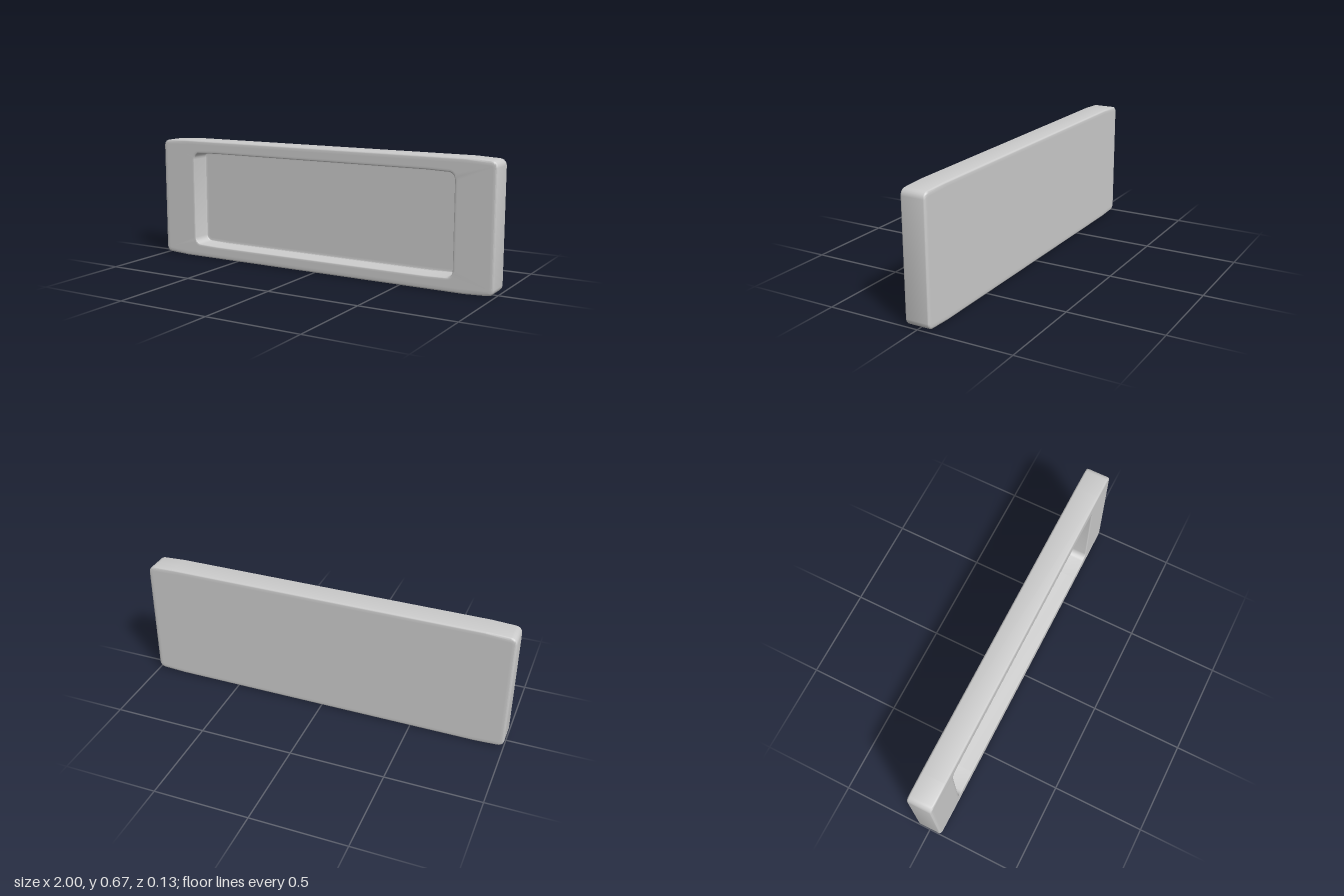
import * as THREE from 'three';
import { toCreasedNormals } from 'three/addons/utils/BufferGeometryUtils.js';

const CENTRE_Y = 0.335;
const ARC = 5; // segments per rounded corner

// Rounded rectangle whose long edges bow down slightly towards the corners, counter-clockwise from +z
function loop(hx, hy, r, bow, z) {
  const quarter = [];
  for (let i = 0; i <= ARC; i++) {
    const a = (i / ARC) * Math.PI / 2;
    quarter.push([hx - r + r * Math.cos(a), hy - bow - r + r * Math.sin(a)]);
  }
  quarter.push([Math.max(hx - 0.15, 0), hy]);
  const mirrored = (sx, sy) => quarter.map(([x, y]) => [x * sx, y * sy]);
  return [
    ...mirrored(1, 1), ...mirrored(-1, 1).reverse(),
    ...mirrored(-1, -1), ...mirrored(1, -1).reverse(),
  ].map(([x, y]) => [x, y + CENTRE_Y, z]);
}

// Skin neighbouring loops; the first and last loops are collapsed to a point
function loft(loops) {
  const pos = [];
  const n = loops[0].length;
  for (let k = 0; k < loops.length - 1; k++) {
    for (let i = 0; i < n; i++) {
      const j = (i + 1) % n;
      const a = loops[k][i], b = loops[k][j], c = loops[k + 1][i], d = loops[k + 1][j];
      if (k > 0) pos.push(...a, ...b, ...c);
      if (k < loops.length - 2) pos.push(...b, ...d, ...c);
    }
  }
  const geo = new THREE.BufferGeometry();
  geo.setAttribute('position', new THREE.Float32BufferAttribute(pos, 3));
  return toCreasedNormals(geo, 0.6);
}

export function createModel() {
  const group = new THREE.Group();
  group.name = 'recessedPanel';

  const front = 0.066, floor = -0.039, bevel = 0.01, lip = 0.006;
  const outer = (inset, z) => loop(1 - inset, 0.333 - inset, 0.034 - inset, 0.006, z);
  const inner = (inset, z) => loop(0.787 - inset, 0.264 - inset, 0.036 - inset, 0.004, z);
  const point = (z) => loop(0, 0, 0, 0, z);
  const steps = [0, 1, 2, 3].map((i) => (i / 3) * Math.PI / 2);

  const loops = [point(-front), outer(0.025, -front)];
  // Outer wall with rounded back and front edges
  for (const a of steps) loops.push(outer(bevel * (1 - Math.sin(a)), -front + bevel * (1 - Math.cos(a))));
  for (const a of steps) loops.push(outer(bevel * (1 - Math.cos(a)), front - bevel * (1 - Math.sin(a))));
  // Front frame, running to the rounded lip of the recess
  loops.push(outer(0.025, front), inner(-0.015, front));
  for (const a of steps) loops.push(inner(-lip * (1 - Math.sin(a)), front - lip * (1 - Math.cos(a))));
  // Recess wall, small fillet and floor
  for (const a of steps) loops.push(inner(lip * (1 - Math.cos(a)), floor + lip * (1 - Math.sin(a))));
  loops.push(inner(0.02, floor), point(floor));

  const panel = new THREE.Mesh(loft(loops), new THREE.MeshStandardMaterial({ color: 0xcccccc }));
  panel.name = 'panelWithRecess';
  group.add(panel);
  return group;
}
